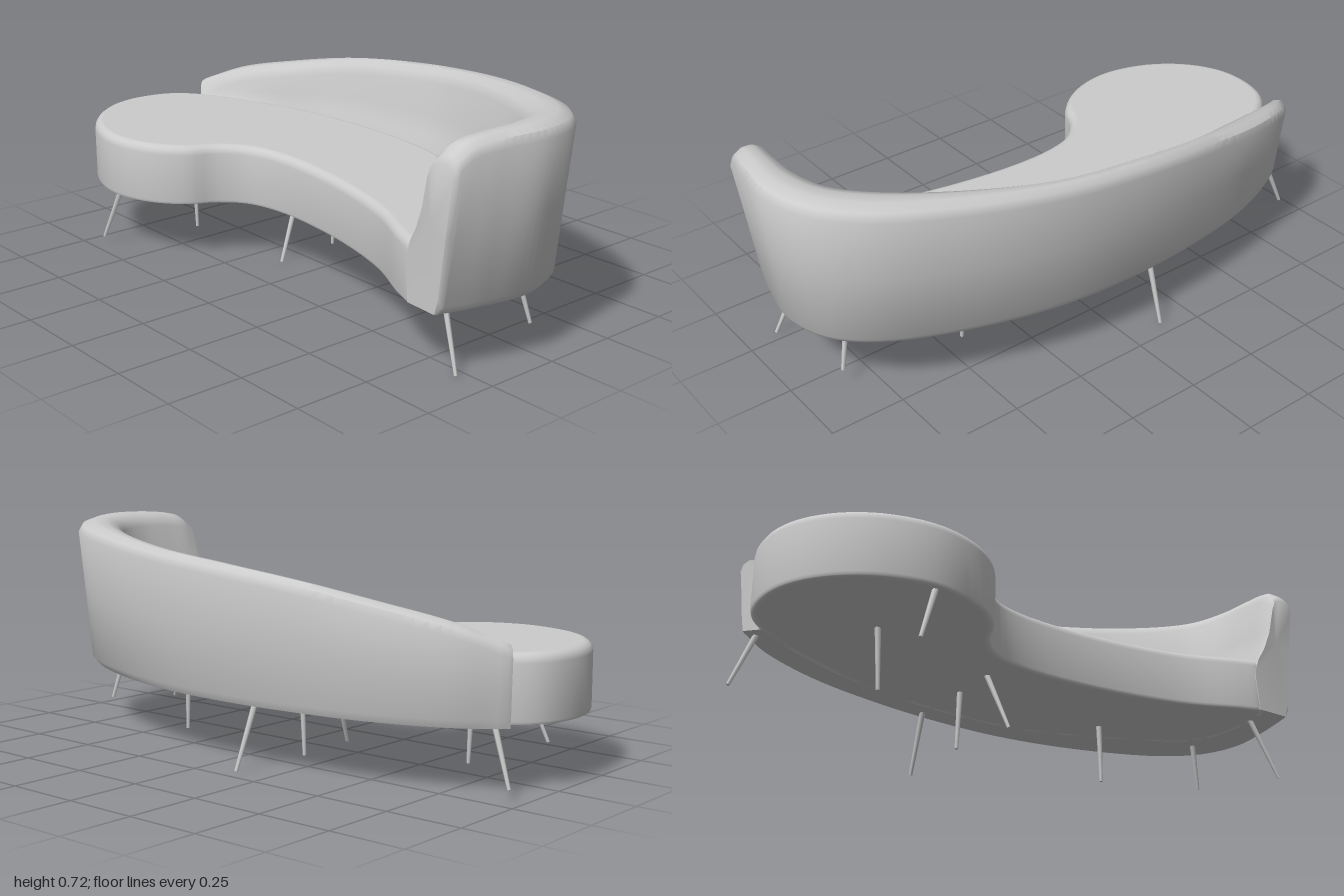
import * as THREE from 'three';
import { toCreasedNormals } from 'three/addons/utils/BufferGeometryUtils.js';

const material = new THREE.MeshStandardMaterial({ color: 0xcccccc });
const BASE = 0.2; // underside height

// Kidney-shaped seat outline as [x, z]
const SEAT = [
  [-1, 0.09], [-0.97, -0.04], [-0.88, -0.13], [-0.65, -0.23], [-0.4, -0.3], [-0.05, -0.325],
  [0.22, -0.295], [0.45, -0.205], [0.66, -0.095], [0.78, 0], [0.81, 0.1], [0.81, 0.24], [0.77, 0.345],
  [0.7, 0.33], [0.5, 0.235], [0.2, 0.16], [-0.08, 0.14], [-0.22, 0.17], [-0.3, 0.24], [-0.35, 0.33],
  [-0.46, 0.415], [-0.62, 0.45], [-0.79, 0.405], [-0.91, 0.315], [-0.98, 0.205],
];

function createSeat() {
  const bevel = 0.03, height = 0.198;
  const curve = new THREE.CatmullRomCurve3(SEAT.map(([x, z]) => new THREE.Vector3(x, -z, 0)), true);
  const shape = new THREE.Shape(curve.getPoints(110).slice(0, -1).map(p => new THREE.Vector2(p.x, p.y)));
  let geo = new THREE.ExtrudeGeometry(shape, {
    depth: height - 0.008 - bevel, bevelThickness: bevel, bevelSize: bevel, bevelOffset: -bevel, bevelSegments: 4,
  });
  geo.rotateX(-Math.PI / 2).translate(0, BASE + 0.008, 0);
  geo = toCreasedNormals(geo, 0.7);
  // Flat underside, level shading on the cushion, top falling gently towards the tall end
  const p = geo.attributes.position;
  for (let i = 0; i < p.count; i++) {
    const y = Math.max(p.getY(i), BASE), lift = (y - BASE) / height;
    if (lift > 0.999) geo.attributes.normal.setXYZ(i, 0, 1, 0);
    p.setY(i, y - 0.014 * p.getX(i) * lift);
  }
  return new THREE.Mesh(geo, material);
}

// Backrest rails, left to right: outer edge, inner top edge, inner seat edge (x, z each), height
const BACK = [
  [-0.94, -0.19, -0.89, -0.14, -0.88, -0.12, 0.45],
  [-0.82, -0.285, -0.77, -0.21, -0.74, -0.18, 0.505],
  [-0.6, -0.375, -0.56, -0.28, -0.54, -0.25, 0.555],
  [-0.35, -0.425, -0.33, -0.345, -0.32, -0.29, 0.6],
  [-0.05, -0.45, -0.05, -0.365, -0.05, -0.295, 0.635],
  [0.24, -0.435, 0.22, -0.35, 0.21, -0.265, 0.66],
  [0.54, -0.365, 0.48, -0.265, 0.43, -0.175, 0.685],
  [0.82, -0.24, 0.71, -0.135, 0.64, -0.06, 0.705],
  [0.95, -0.11, 0.82, -0.03, 0.745, 0.005, 0.715],
  [1, 0.05, 0.86, 0.09, 0.765, 0.09, 0.72],
  [0.978, 0.21, 0.86, 0.22, 0.76, 0.21, 0.716],
  [0.957, 0.3, 0.85, 0.31, 0.75, 0.29, 0.702],
  [0.945, 0.35, 0.845, 0.354, 0.735, 0.335, 0.665],
];

function createBackrest() {
  const rail = (c, h) => new THREE.CatmullRomCurve3(
    BACK.map(r => new THREE.Vector3(r[c], h ? r[6] : 0, r[c + 1])));
  const outer = rail(0, true), inner = rail(2), foot = rail(4);
  const at = (a, b, k, y) => a.clone().lerp(b, k).setY(y);

  // Closed cross-section: up the outside, over the rounded crest, down the padded inside
  const section = t => {
    const o = outer.getPoint(t), i = inner.getPoint(t), f = foot.getPoint(t);
    const h = o.y;
    o.y = 0;
    const low = o.clone().add(f.clone().sub(o).setLength(0.02 + 0.035 * t));
    return [
      at(low, f, 0.1, BASE), at(low, f, 0, BASE + 0.025), at(low, o, 0.5, (BASE + h) / 2),
      at(o, i, 0, h - 0.04), at(o, i, 0.1, h - 0.014), at(o, i, 0.35, h), at(o, i, 0.65, h - 0.003),
      at(o, i, 0.9, h - 0.018), at(i, f, 0.04, h - 0.05), at(i, f, 0.28, 0.38 + (h - 0.42) * 0.5),
      at(i, f, 0.55, 0.38 + (h - 0.42) * 0.2), at(i, f, 0.82, 0.38), at(f, i, 0, 0.32), at(f, i, 0.1, BASE),
    ];
  };

  const steps = 72;
  const rings = Array.from({ length: steps + 1 }, (_, s) => section(s / steps));
  // Softened end rings, shrunk towards their middle and pushed outward
  const middle = ring => ring.reduce((m, p) => m.add(p), new THREE.Vector3()).divideScalar(ring.length);
  const soften = (ring, dir) => {
    const m = middle(ring);
    return ring.map(p => {
      const q = p.clone().lerp(m, 0.1).addScaledVector(dir, 0.014);
      if (p.y === BASE) q.y = BASE;
      return q;
    });
  };
  rings.unshift(soften(rings[0], outer.getTangent(0).setY(0).negate()));
  rings.push(soften(rings[rings.length - 1], outer.getTangent(1).setY(0)));

  const n = rings[0].length, last = rings.length - 1;
  const points = rings.flat(), index = [];
  for (let s = 0; s < last; s++) {
    for (let i = 0; i < n; i++) {
      const j = (i + 1) % n, a = s * n + i, b = s * n + j;
      index.push(a, b, a + n, b, b + n, a + n);
    }
  }
  // End caps
  const start = points.push(middle(rings[0])) - 1;
  const end = points.push(middle(rings[last])) - 1;
  for (let i = 0; i < n; i++) {
    const j = (i + 1) % n;
    index.push(start, j, i, end, last * n + i, last * n + j);
  }
  const geo = new THREE.BufferGeometry().setFromPoints(points);
  geo.setIndex(index);
  return new THREE.Mesh(toCreasedNormals(geo, 0.7), material);
}

// Thin splayed legs: top x, z, then foot x, y, z
const LEGS = [
  [-0.88, -0.165, -0.95, 0.03, -0.19],
  [-0.62, 0.415, -0.69, 0.02, 0.45],
  [-0.62, 0.105, -0.61, 0, 0.105],
  [-0.15, 0.01, -0.125, 0, 0.1],
  [-0.14, -0.15, -0.15, 0, -0.15],
  [-0.14, -0.37, -0.13, 0, -0.45],
  [0.42, -0.105, 0.425, 0, -0.105],
  [0.81, -0.045, 0.85, 0.05, -0.07],
  [0.8, 0.25, 0.89, 0, 0.285],
];

function createLeg([x, z, fx, fy, fz]) {
  const top = new THREE.Vector3(x, BASE + 0.01, z), foot = new THREE.Vector3(fx, fy, fz);
  const axis = top.clone().sub(foot);
  const leg = new THREE.Mesh(new THREE.CylinderGeometry(0.01, 0.006, axis.length(), 6), material);
  leg.position.copy(top).add(foot).multiplyScalar(0.5);
  leg.quaternion.setFromUnitVectors(new THREE.Vector3(0, 1, 0), axis.normalize());
  return leg;
}

export function createModel() {
  const sofa = new THREE.Group();
  sofa.name = 'curvedSofa';
  const add = (mesh, name) => { mesh.name = name; sofa.add(mesh); };
  add(createSeat(), 'seat');
  add(createBackrest(), 'backrest');
  LEGS.forEach((leg, i) => add(createLeg(leg), `leg${i + 1}`));
  return sofa;
}
